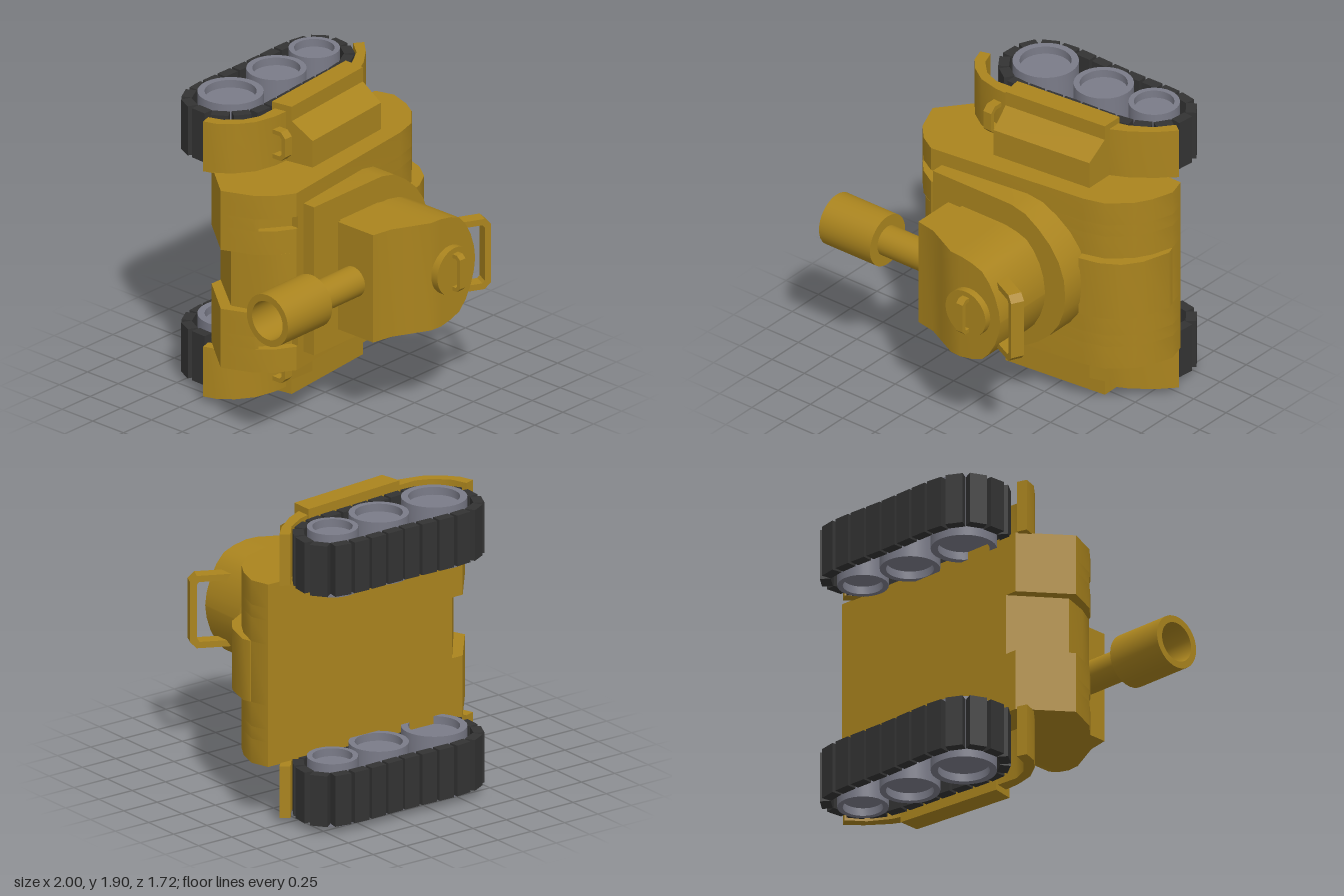
import * as THREE from 'three';
import { toCreasedNormals } from 'three/addons/utils/BufferGeometryUtils.js';

const paint = new THREE.MeshStandardMaterial({ color: 0xaa841e });
const steel = new THREE.MeshStandardMaterial({ color: 0x7a7b88 });
const rubber = new THREE.MeshStandardMaterial({ color: 0x333333 });
const MID = 0.95; // height of the model's plane of symmetry

export function createModel() {
  const model = new THREE.Group();

  const add = (name, geometry, material = paint, parent = model) => {
    const mesh = new THREE.Mesh(geometry, material);
    mesh.name = name;
    parent.add(mesh);
    return mesh;
  };
  const shapeOf = pts => new THREE.Shape(pts.map(p => new THREE.Vector2(p[0], p[1])));
  const extrude = (pts, depth) => toCreasedNormals(
    new THREE.ExtrudeGeometry(shapeOf(pts), { depth, bevelEnabled: false }), 0.6);

  // Outline in x, z raised from y0 to y1
  const slab = (pts, y0, y1) =>
    extrude(pts.map(([x, z]) => [x, -z]), y1 - y0).rotateX(-Math.PI / 2).translate(0, y0, 0);

  // Profile of radius, distance turned around y
  const turned = (pts, sides = 32) => toCreasedNormals(
    new THREE.LatheGeometry(pts.map(p => new THREE.Vector2(p[0], p[1])), sides), 0.6);

  // U-shaped bar standing out along local x, spanning 2 * w in y
  const handle = (name, w, h, t, d, c) => {
    const geo = extrude([[0, -w], [h - c, -w], [h, c - w], [h, w - c], [h - c, w], [0, w],
      [0, w - t], [h - c - t * 0.4, w - t], [h - t, w - c - t * 0.4],
      [h - t, c - w + t * 0.4], [h - c - t * 0.4, t - w], [0, t - w]], d);
    return add(name, geo.translate(0, 0, -d / 2));
  };

  // Hull: slices sharing one tail, with a recessed nose and two slots
  const tail = [[0.60, 0.065], [0.74, 0.025], [0.87, -0.09], [0.93, -0.19], [0.975, -0.33], [0.94, -0.45]];
  const nose = [[-0.52, -0.45], [-0.75, -0.165], [-0.67, 0.03], [-0.58, 0.13], [-0.47, 0.195]];
  const slot = [[-0.52, -0.45], [-0.75, -0.165], [-0.67, 0.03], [-0.65, 0.05],
    [-0.64, 0.015], [-0.455, 0.145], [-0.455, 0.193]];
  const recess = [[-0.44, -0.45], [-0.675, -0.15], [-0.62, 0.02], [-0.55, 0.15], [-0.47, 0.195]];
  const slices = [[0.365, 0.52, nose], [0.52, 0.60, slot], [0.60, 0.755, nose]];
  for (const [y0, y1, front] of slices) {
    add('hull', slab([...front, ...tail], y0, y1));
    add('hull', slab([...front, ...tail], 2 * MID - y1, 2 * MID - y0));
  }
  add('hullMiddle', slab([...recess, ...tail], 0.755, 1.145));
  add('rearBand', slab([[0.58, 0], [0.61, 0.12], [0.74, 0.09], [0.86, 0.02], [0.94, -0.09],
    [0.995, -0.27], [0.98, -0.32], [0.9, -0.32]], 0.755, 1.145));

  // Turret base plate with a rounded tail
  const half = [[-0.395, 0.49], [0.21, 0.49], [0.32, 0.465], [0.42, 0.40], [0.51, 0.32],
    [0.58, 0.22], [0.62, 0.11]];
  const plate = [...half, [0.63, 0], ...half.map(([x, y]) => [x, -y]).reverse()];
  add('turretBase', extrude(plate.map(([x, y]) => [x, y + MID]), 0.27));

  // Turret: rectangular sections along x as [x, half width, roof]
  const loft = (sections, z0) => {
    const pos = [], index = [];
    for (const [x, w, z1] of sections) {
      pos.push(x, MID - w, z0, x, MID + w, z0, x, MID + w, z1, x, MID - w, z1);
    }
    for (let i = 0; i < sections.length - 1; i++) {
      for (let j = 0; j < 4; j++) {
        const a = i * 4 + j, b = i * 4 + (j + 1) % 4;
        index.push(a, b + 4, b, a, a + 4, b + 4);
      }
    }
    const e = (sections.length - 1) * 4;
    index.push(0, 1, 2, 0, 2, 3, e, e + 2, e + 1, e, e + 3, e + 2);
    // Corner order is turned so faces look outward
    for (let i = 0; i < index.length; i += 3) [index[i + 1], index[i + 2]] = [index[i + 2], index[i + 1]];
    const geo = new THREE.BufferGeometry();
    geo.setAttribute('position', new THREE.Float32BufferAttribute(pos, 3));
    geo.setIndex(index);
    return toCreasedNormals(geo, 0.6);
  };
  const rear = [[0.21, 0.355], [0.30, 0.338], [0.375, 0.31], [0.43, 0.25], [0.475, 0.17],
    [0.505, 0.08], [0.515, 0.005]];
  add('turret', loft([[-0.235, 0.355, 0.605], [-0.1, 0.355, 0.63], [0, 0.355, 0.68],
    [0.13, 0.355, 0.745], ...rear.map(([x, w]) => [x, w, 0.75])], 0.32));
  add('turretNeck', loft([[-0.17, 0.33, 0.33], ...rear.map(([x, w]) => [x - 0.045, w * 0.93, 0.33])], 0.2));

  // Gun with a hollow muzzle
  const gun = new THREE.Group();
  gun.name = 'gun';
  gun.position.set(0, MID, 0.443);
  gun.rotation.z = Math.PI / 2;
  model.add(gun);
  add('barrel', turned([[0, 0.2], [0.097, 0.2], [0.097, 0.62]]), paint, gun);
  add('muzzle', turned([[0, 0.605], [0.168, 0.605], [0.168, 1], [0.125, 1], [0.125, 0.72], [0, 0.72]]), paint, gun);

  // Roof hatch, its handle and the rear rail
  const hatch = add('hatch', new THREE.CylinderGeometry(0.155, 0.155, 0.075, 32));
  hatch.rotation.x = Math.PI / 2;
  hatch.position.set(0.285, MID, 0.758);
  const grip = handle('hatchHandle', 0.12, 0.07, 0.025, 0.05, 0.025);
  grip.rotation.y = -Math.PI / 2;
  grip.position.set(0.288, MID, 0.787);
  const rail = handle('rearRail', 0.232, 0.25, 0.04, 0.085, 0.04);
  rail.rotation.y = -0.46;
  rail.position.set(0.42, MID, 0.63);

  // Running gear, mirrored above and below the hull
  const fender = [[-0.605, -0.44], [-0.575, -0.35], [-0.505, -0.27], [-0.40, -0.20], [-0.265, -0.17],
    [-0.18, -0.168], [0.55, -0.24], [0.67, -0.30], [0.80, -0.40], [0.89, -0.495],
    [0.835, -0.535], [0.75, -0.43], [0.62, -0.35], [0.53, -0.325], [-0.18, -0.25],
    [-0.32, -0.24], [-0.42, -0.28], [-0.505, -0.365], [-0.54, -0.46]];
  const trackPath = new THREE.CatmullRomCurve3([[-0.225, -0.82], [0.2, -0.82], [0.6, -0.825], [0.72, -0.8],
    [0.79, -0.73], [0.8, -0.62], [0.75, -0.5], [0.64, -0.42], [0.5, -0.385], [0.2, -0.36], [-0.13, -0.33],
    [-0.27, -0.335], [-0.38, -0.4], [-0.455, -0.5], [-0.46, -0.62], [-0.43, -0.72], [-0.34, -0.795]]
    .map(([x, z]) => new THREE.Vector3(x, 0, z)), true);
  const linkGeo = new THREE.BoxGeometry(0.108, 0.325, 0.066);
  const wheels = [[-0.21, -0.578, 0.2, 0.157], [0.222, -0.6, 0.182, 0.145], [0.59, -0.628, 0.155, 0.122]];
  const LINKS = 24;

  for (const s of [-1, 1]) {
    const yAt = y => (s < 0 ? y : 2 * MID - y);
    const range = (a, b) => [Math.min(yAt(a), yAt(b)), Math.max(yAt(a), yAt(b))];
    add('fender', slab(fender, ...range(0.04, 0.37)));

    // Stowage box: section in y, z swept along x, then slanted with the hull
    const section = [[0, -0.27], [0, -0.13], [0.095, -0.13], [0.19, 0.017], [0.37, 0.017], [0.37, -0.27]];
    const box = new THREE.ExtrudeGeometry(shapeOf(section.map(([y, z]) => [yAt(y), z])),
      { depth: 1, bevelEnabled: false });
    const p = box.attributes.position;
    for (let i = 0; i < p.count; i++) {
      const y = p.getX(i), z = p.getY(i), t = p.getZ(i);
      const start = -0.18 + 0.05 * (z + 0.27) / 0.287;
      p.setXYZ(i, start + t * (0.555 - start), y, z - 0.07 * t);
    }
    box.computeVertexNormals();
    add('stowageBox', box);

    const lug = handle('fenderHandle', 0.095, 0.13, 0.028, 0.06, 0.035);
    lug.rotation.y = -Math.PI / 2;
    lug.position.set(-0.25, yAt(0.215), -0.2);

    // Wheels dished on both faces
    for (const [x, z, r, ri] of wheels) {
      const h = 0.2, d = 0.15;
      const wheel = add('wheel', turned([[0, -d], [ri, -d], [ri, -h], [r, -h], [r, h], [ri, h], [ri, d], [0, d]]), steel);
      wheel.position.set(x, yAt(0.215), z);
    }

    // Track links spaced along the loop
    const track = new THREE.Group();
    track.name = 'track';
    model.add(track);
    for (let i = 0; i < LINKS; i++) {
      const at = trackPath.getPointAt(i / LINKS), dir = trackPath.getTangentAt(i / LINKS);
      const link = add('trackLink', linkGeo, rubber, track);
      link.position.set(at.x, yAt(0.2125), at.z);
      link.rotation.y = Math.atan2(-dir.z, dir.x);
    }
  }
  return model;
}
